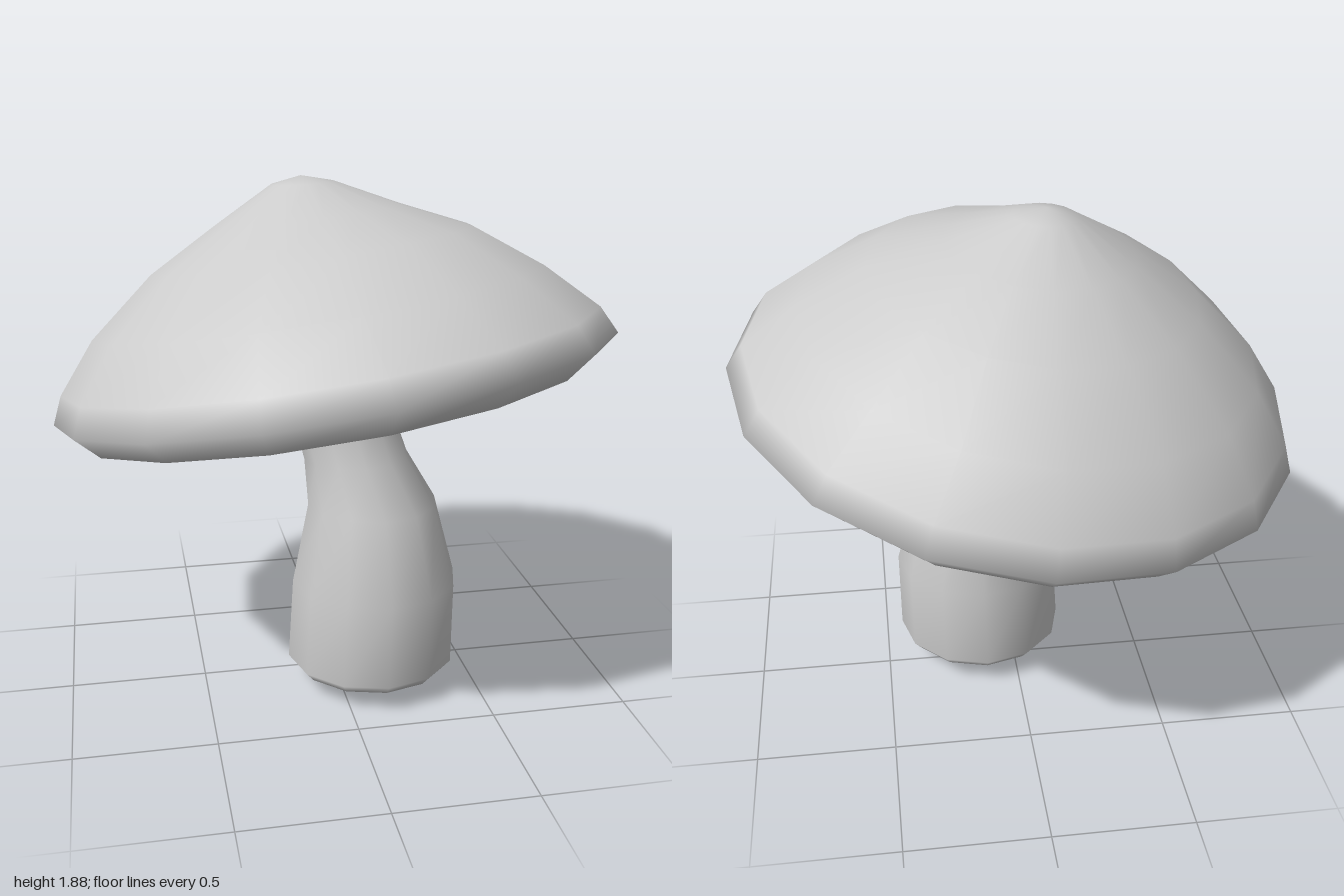
import * as THREE from 'three';
import { mergeVertices } from 'three/addons/utils/BufferGeometryUtils.js';

// Skins a stack of tilted rings: [height, radius, centre x, centre z, slope along x and z]
function loft(rings, sides) {
  const positions = [], index = [];
  for (const [y, r, cx, cz, slope] of rings) {
    for (let j = 0; j < sides; j++) {
      const a = (j / sides) * Math.PI * 2;
      const dx = r * Math.cos(a), dz = r * Math.sin(a);
      positions.push(cx + dx, y + slope * (dx + dz), cz + dz);
    }
  }
  for (let i = 0; i < rings.length - 1; i++) {
    for (let j = 0; j < sides; j++) {
      const k = (j + 1) % sides;
      const a = i * sides + j, b = i * sides + k;
      const c = a + sides, d = b + sides;
      index.push(a, c, b, b, c, d);
    }
  }
  let geometry = new THREE.BufferGeometry();
  geometry.setAttribute('position', new THREE.Float32BufferAttribute(positions, 3));
  geometry.setIndex(index);
  geometry = mergeVertices(geometry); // closes the poles
  geometry.computeVertexNormals();
  return geometry;
}

export function createModel() {
  const group = new THREE.Group();
  const material = new THREE.MeshStandardMaterial({ color: 0xcccccc, side: THREE.DoubleSide });
  const add = (name, geometry) => {
    const mesh = new THREE.Mesh(geometry, material);
    mesh.name = name;
    group.add(mesh);
  };

  // Stem: blunt foot, swollen base, leaning neck, flare under the cap
  add('stem', loft([
    [0.0, 0, 0.12, 0.115, 0],
    [0.045, 0.2, 0.125, 0.115, 0],
    [0.075, 0.285, 0.125, 0.115, 0],
    [0.11, 0.315, 0.125, 0.115, 0],
    [0.42, 0.307, 0.135, 0.12, 0],
    [0.72, 0.237, 0.125, 0.115, 0],
    [0.89, 0.19, 0.07, 0.085, 0.03],
    [1.07, 0.178, 0.02, 0.045, 0.1],
    [1.14, 0.21, 0.01, 0.02, 0.14],
    [1.2, 0.28, 0, 0, 0.15],
    [1.235, 0.4, 0, 0, 0.15],
  ], 12));

  // Cap: hollow underside, rolled rim, dome rising to an off-centre peak
  add('cap', loft([
    [1.25, 0, 0, 0, 0.15],
    [1.235, 0.38, 0, 0, 0.15],
    [1.21, 0.65, 0, 0, 0.15],
    [1.17, 0.77, 0, 0, 0.15],
    [1.11, 0.83, 0, 0, 0.15],
    [1.1, 0.91, 0, 0, 0.15],
    [1.185, 1.0, 0, 0, 0.147],
    [1.28, 0.955, -0.015, -0.015, 0.147],
    [1.445, 0.8, -0.05, -0.04, 0.145],
    [1.625, 0.57, -0.065, -0.05, 0.13],
    [1.745, 0.33, -0.08, -0.06, 0.1],
    [1.855, 0.11, -0.095, -0.07, 0.05],
    [1.88, 0, -0.1, -0.07, 0],
  ], 16));

  return group;
}
